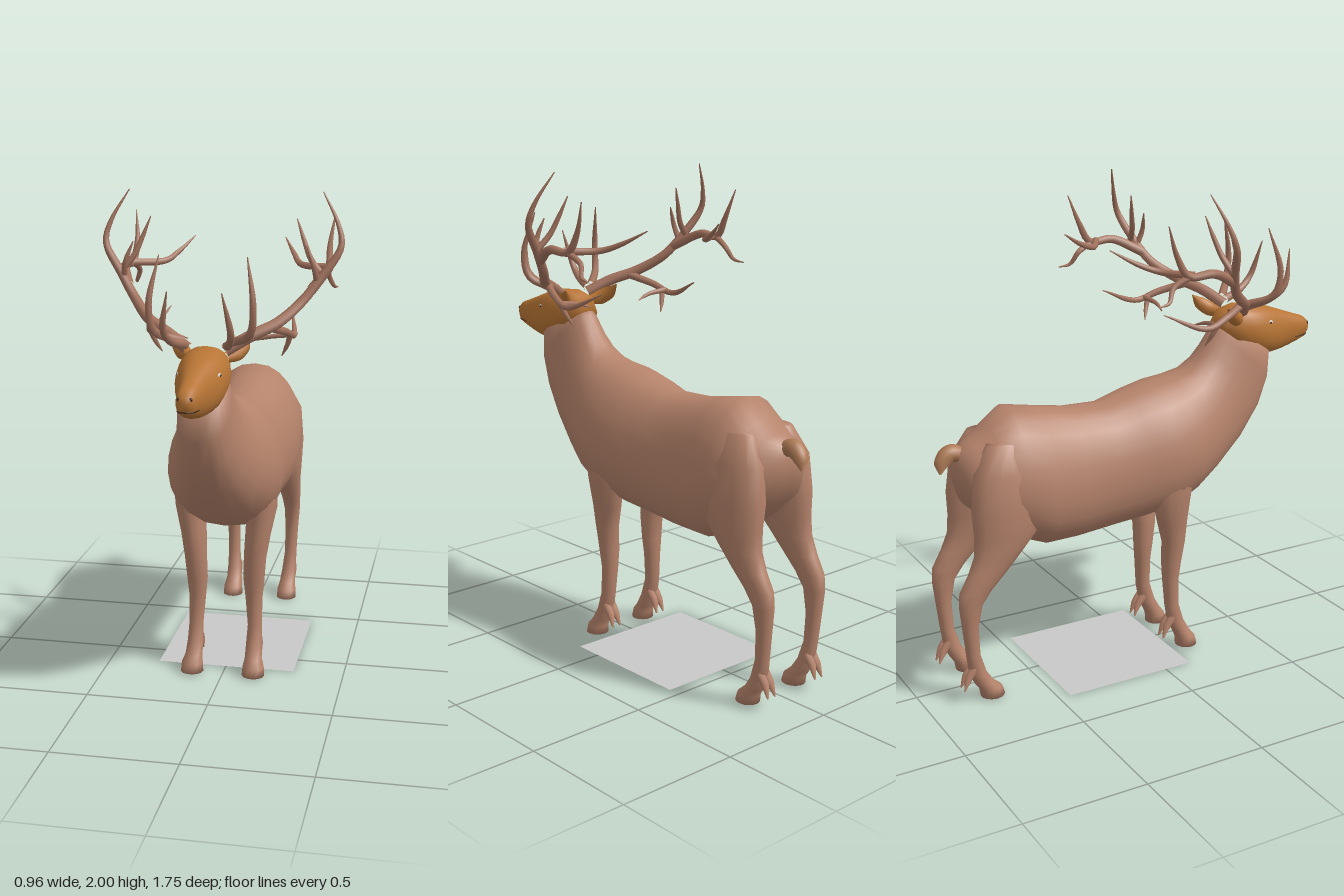
import * as THREE from 'three';

const mat = (name, color, side = THREE.FrontSide) => {
  const m = new THREE.MeshStandardMaterial({ color, side });
  m.name = name;
  return m;
};

// Skin closed rings (arrays of Vector3) into one smooth capped surface
function loft(rings) {
  const n = rings[0].length, pos = [], idx = [];
  rings.forEach(r => r.forEach(p => pos.push(p.x, p.y, p.z)));
  for (let i = 0; i < rings.length - 1; i++)
    for (let j = 0; j < n; j++) {
      const k = (j + 1) % n, a = i * n + j, b = i * n + k, c = b + n, d = a + n;
      idx.push(a, b, c, a, c, d);
    }
  [0, rings.length - 1].forEach((i, end) => {
    const c = rings[i].reduce((s, p) => s.add(p), new THREE.Vector3()).divideScalar(n);
    const ci = pos.push(c.x, c.y, c.z) / 3 - 1;
    for (let j = 0; j < n; j++) {
      const a = i * n + j, b = i * n + (j + 1) % n;
      end ? idx.push(a, b, ci) : idx.push(b, a, ci);
    }
  });
  const g = new THREE.BufferGeometry();
  g.setAttribute('position', new THREE.Float32BufferAttribute(pos, 3));
  g.setIndex(idx);
  g.computeVertexNormals();
  return g;
}

// Section [topZ, topY, bottomZ, bottomY, halfWidth]; egg > 0 is wider low down
function torso(sections, egg) {
  const n = 24;
  return loft(sections.map(([tz, ty, bz, by, w]) => Array.from({ length: n }, (_, j) => {
    const t = j / n * Math.PI * 2, c = Math.cos(t), s = Math.sin(t);
    const x = w * Math.sign(c) * Math.abs(c) ** 0.85 * (1 - egg * s);
    return new THREE.Vector3(x, (ty + by) / 2 + s * (ty - by) / 2, (tz + bz) / 2 + s * (tz - bz) / 2);
  })));
}

// Section [y, x, z, radiusX, radiusZ], listed from the ground up
function leg(sections, side) {
  const n = 14;
  return loft(sections.map(([y, x, z, rx, rz]) => Array.from({ length: n }, (_, j) => {
    const t = j / n * Math.PI * 2;
    return new THREE.Vector3(side * x + rx * Math.cos(t), y, z - rz * Math.sin(t));
  })));
}

// Tube along [x, y, z] points whose radius follows an evenly spaced list
function taper(points, radii, side = 1, sides = 7) {
  const curve = new THREE.CatmullRomCurve3(points.map(([x, y, z]) => new THREE.Vector3(side * x, y, z)));
  const n = points.length * 4;
  const g = new THREE.TubeGeometry(curve, n, 1, sides);
  const p = g.attributes.position, v = new THREE.Vector3();
  for (let i = 0; i <= n; i++) {
    const c = curve.getPointAt(i / n), f = i / n * (radii.length - 1);
    const k = Math.min(Math.floor(f), radii.length - 2);
    const r = THREE.MathUtils.lerp(radii[k], radii[k + 1], f - k);
    for (let j = 0; j <= sides; j++) {
      const q = i * (sides + 1) + j;
      v.fromBufferAttribute(p, q).sub(c).multiplyScalar(r).add(c);
      p.setXYZ(q, v.x, v.y, v.z);
    }
  }
  return g;
}

const BODY = [
  [-0.78, 1.03, -0.80, 0.90, 0.06], [-0.73, 1.055, -0.76, 0.79, 0.14], [-0.66, 1.10, -0.66, 0.70, 0.195],
  [-0.57, 1.172, -0.56, 0.63, 0.22], [-0.45, 1.15, -0.44, 0.58, 0.217], [-0.30, 1.125, -0.29, 0.58, 0.2],
  [-0.15, 1.12, -0.14, 0.595, 0.2], [-0.03, 1.155, 0.0, 0.61, 0.22], [0.08, 1.18, 0.14, 0.635, 0.232],
  [0.17, 1.19, 0.25, 0.69, 0.218], [0.25, 1.21, 0.36, 0.76, 0.18], [0.30, 1.25, 0.50, 0.875, 0.14],
  [0.34, 1.30, 0.60, 1.0, 0.115], [0.38, 1.36, 0.65, 1.12, 0.1], [0.41, 1.39, 0.66, 1.235, 0.088],
];
const HEAD = [
  [0.39, 1.38, 0.55, 1.25, 0.08], [0.43, 1.44, 0.60, 1.23, 0.096], [0.50, 1.458, 0.64, 1.225, 0.1],
  [0.58, 1.452, 0.68, 1.228, 0.09], [0.66, 1.43, 0.72, 1.232, 0.07], [0.73, 1.405, 0.77, 1.243, 0.053],
  [0.80, 1.38, 0.82, 1.258, 0.043], [0.845, 1.365, 0.85, 1.27, 0.037], [0.868, 1.345, 0.868, 1.29, 0.024],
];
const FRONT_LEG = [
  [0.005, 0.13, 0.195, 0.048, 0.047], [0.04, 0.13, 0.19, 0.045, 0.044], [0.07, 0.127, 0.172, 0.036, 0.038],
  [0.12, 0.125, 0.145, 0.034, 0.037], [0.2, 0.125, 0.125, 0.03, 0.032], [0.32, 0.12, 0.12, 0.036, 0.035],
  [0.4, 0.12, 0.123, 0.044, 0.042], [0.5, 0.125, 0.13, 0.047, 0.052], [0.6, 0.135, 0.118, 0.053, 0.069],
  [0.72, 0.15, 0.105, 0.063, 0.09], [0.88, 0.15, 0.11, 0.068, 0.11], [1.0, 0.13, 0.12, 0.045, 0.08],
];
const HIND_LEG = [
  [0.005, 0.13, -0.722, 0.046, 0.05], [0.04, 0.13, -0.73, 0.043, 0.048], [0.07, 0.13, -0.757, 0.036, 0.041],
  [0.12, 0.133, -0.785, 0.033, 0.036], [0.2, 0.137, -0.803, 0.028, 0.029], [0.32, 0.14, -0.812, 0.03, 0.033],
  [0.42, 0.142, -0.808, 0.036, 0.048], [0.48, 0.142, -0.783, 0.041, 0.069], [0.55, 0.142, -0.728, 0.048, 0.084],
  [0.62, 0.14, -0.68, 0.058, 0.102], [0.7, 0.135, -0.64, 0.073, 0.137], [0.8, 0.13, -0.63, 0.085, 0.152],
  [0.95, 0.12, -0.63, 0.085, 0.135], [1.06, 0.1, -0.62, 0.05, 0.08],
];
// Antler beam and tines: points, root radius
const ANTLER = [
  [[[0.07, 1.44, 0.49], [0.16, 1.49, 0.44], [0.25, 1.53, 0.37], [0.33, 1.6, 0.28], [0.39, 1.68, 0.235],
    [0.465, 1.8, 0.19], [0.45, 1.88, 0.165], [0.385, 2.0, 0.12]], 0.025],
  [[[0.08, 1.46, 0.5], [0.11, 1.49, 0.6], [0.125, 1.54, 0.66], [0.1, 1.69, 0.7]], 0.018],
  [[[0.09, 1.47, 0.49], [0.18, 1.52, 0.57], [0.195, 1.62, 0.59], [0.165, 1.8, 0.545]], 0.018],
  [[[0.22, 1.515, 0.39], [0.27, 1.48, 0.28], [0.285, 1.45, 0.18], [0.25, 1.52, 0.0]], 0.017],
  [[[0.28, 1.47, 0.24], [0.265, 1.42, 0.22], [0.24, 1.37, 0.2]], 0.013],
  [[[0.28, 1.46, 0.22], [0.2, 1.45, 0.23], [0.13, 1.43, 0.22]], 0.012],
  [[[0.36, 1.64, 0.255], [0.405, 1.7, 0.13], [0.4, 1.7, 0.02], [0.395, 1.78, -0.03], [0.41, 1.9, -0.075]], 0.021],
  [[[0.4, 1.7, 0.03], [0.39, 1.66, -0.04], [0.41, 1.61, -0.07], [0.42, 1.6, -0.12]], 0.014],
  [[[0.4, 1.7, 0.05], [0.28, 1.7, -0.03], [0.24, 1.73, -0.11], [0.19, 1.785, -0.205]], 0.016],
  [[[0.4, 1.69, 0.22], [0.35, 1.75, 0.2], [0.32, 1.82, 0.18], [0.29, 1.9, 0.16]], 0.014],
  [[[0.38, 1.67, 0.24], [0.37, 1.73, 0.26], [0.34, 1.81, 0.25]], 0.013],
];

export function createModel() {
  const coat = mat('brown coat', 0xb5836b), face = mat('orange face', 0xb87535);
  const horn = mat('antler brown', 0xa4745f), tailTan = mat('tail tan', 0xad7a55);
  const dark = mat('dark nostril', 0x4a2c1c), white = mat('eye white', 0xd0ccc6), pupil = mat('pupil black', 0x221a16);
  const grey = mat('grey base', 0xc8c8c8, THREE.DoubleSide);
  const model = new THREE.Group();
  const add = (name, geo, material) => {
    const m = new THREE.Mesh(geo, material);
    m.name = name;
    model.add(m);
    return m;
  };

  add('bodyAndNeck', torso(BODY, 0.13), coat);
  add('head', torso(HEAD, -0.06), face);

  // Short hanging tail
  add('tail', taper([[0, 1.0, -0.76], [0, 1.015, -0.81], [0, 0.985, -0.845], [0, 0.935, -0.855]],
    [0.03, 0.035, 0.036, 0.028, 0.004], 1, 10), tailTan);

  // Mouth line around the muzzle
  add('mouth', taper([[0.039, 1.283, 0.77], [0.036, 1.285, 0.81], [0.027, 1.287, 0.85], [0, 1.29, 0.868],
    [-0.027, 1.287, 0.85], [-0.036, 1.285, 0.81], [-0.039, 1.283, 0.77]], [0.002, 0.004, 0.002], 1, 5), dark);

  for (const s of [1, -1]) {
    const label = s > 0 ? 'left' : 'right';
    add(label + 'FrontLeg', leg(FRONT_LEG, s), coat);
    add(label + 'HindLeg', leg(HIND_LEG, s), coat);

    // Dewclaws behind the fetlocks
    for (const [x, z] of [[0.125, 0.125], [0.133, -0.8]])
      for (const o of [-0.014, 0.014])
        add(label + 'Dewclaw', taper([[x + o, 0.15, z], [x + o, 0.11, z - 0.03], [x + o * 1.4, 0.06, z - 0.052]],
          [0.018, 0.016, 0.003], s), coat);

    add(label + 'Ear', taper([[0.07, 1.41, 0.47], [0.1, 1.42, 0.44], [0.125, 1.445, 0.405], [0.14, 1.48, 0.375]],
      [0.02, 0.032, 0.028, 0.002], s, 10), face);

    // Eye and pupil
    for (const [name, m, r, x] of [['Eye', white, 0.016, 0.076], ['Pupil', pupil, 0.007, 0.081]]) {
      const e = add(label + name, new THREE.SphereGeometry(r, 12, 8), m);
      e.scale.set(0.4, 0.65, 1.1);
      e.position.set(s * x, 1.375, 0.63);
      e.rotation.y = -s * 0.22;
    }
    const nostril = add(label + 'Nostril', new THREE.SphereGeometry(0.01, 10, 6), dark);
    nostril.scale.set(0.7, 0.8, 0.6);
    nostril.position.set(s * 0.022, 1.335, 0.862);

    ANTLER.forEach(([pts, r], i) =>
      add(label + (i ? 'AntlerTine' : 'AntlerBeam'), taper(pts, [r, r * 0.85, r * 0.65, 0.002], s), horn));
  }

  // Flat ground plate
  const plate = add('basePlate', new THREE.PlaneGeometry(0.58, 0.57).rotateX(-Math.PI / 2), grey);
  plate.position.set(0, 0, -0.165);
  return model;
}
